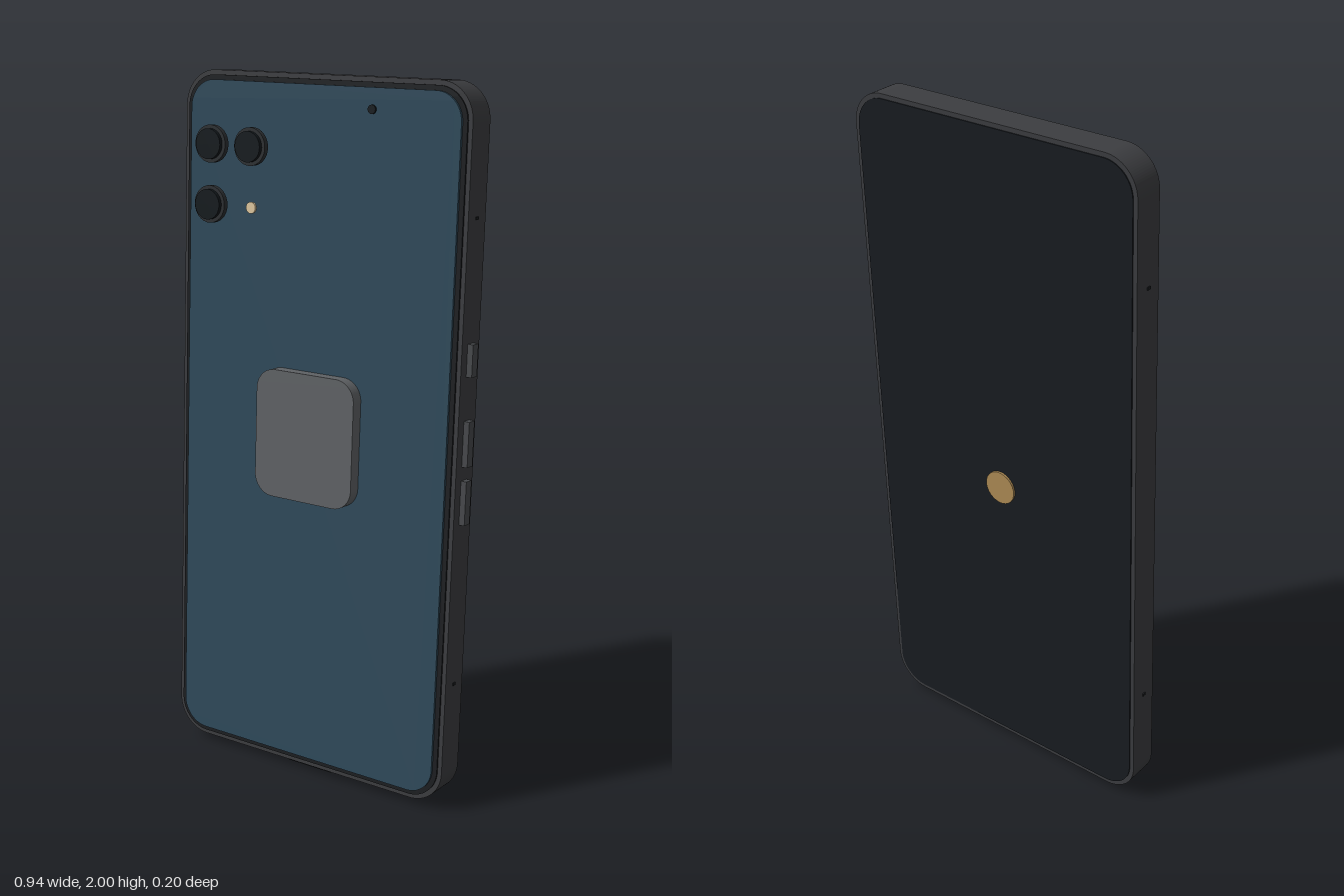
import * as THREE from 'three';

const mat = (color) => new THREE.MeshStandardMaterial({ color });
const MAT = {
  frame: mat(0x3c3d40), bezel: mat(0x1c1e21), blue: mat(0x2f4a5b), screen: mat(0x181c21),
  plate: mat(0x606366), ring: mat(0x2c2f32), lens: mat(0x12181c), gold: mat(0xb08d56),
  flash: mat(0xe0c8a0), button: mat(0x47494c),
};

function roundedRect(w, h, r) {
  const s = new THREE.Shape();
  const x = w / 2, y = h / 2;
  s.moveTo(-x + r, -y);
  s.lineTo(x - r, -y);
  s.absarc(x - r, -y + r, r, -Math.PI / 2, 0, false);
  s.lineTo(x, y - r);
  s.absarc(x - r, y - r, r, 0, Math.PI / 2, false);
  s.lineTo(-x + r, y);
  s.absarc(-x + r, y - r, r, Math.PI / 2, Math.PI, false);
  s.lineTo(-x, -y + r);
  s.absarc(-x + r, -y + r, r, Math.PI, Math.PI * 1.5, false);
  return s;
}

function add(parent, name, geometry, material, x = 0, y = 0, z = 0) {
  const m = new THREE.Mesh(geometry, material);
  m.name = name;
  m.position.set(x, y, z);
  parent.add(m);
  return m;
}

// Rounded slab between depths z0 and z1
function slab(parent, name, w, h, r, z0, z1, material, x = 0, y = 0) {
  const g = new THREE.ExtrudeGeometry(roundedRect(w, h, r), { depth: z1 - z0, bevelEnabled: false, curveSegments: 12 });
  return add(parent, name, g, material, x, y, z0);
}

// Round disc facing along z, between depths z0 and z1
function disc(parent, name, r, z0, z1, material, x, y) {
  const g = new THREE.CylinderGeometry(r, r, z1 - z0, 32).rotateX(Math.PI / 2);
  return add(parent, name, g, material, x, y, (z0 + z1) / 2);
}

export function createModel() {
  const model = new THREE.Group();
  model.name = 'phone';
  const body = new THREE.Group();
  body.name = 'leaningBody';
  body.position.set(-0.0075, 1.007, -0.005);
  body.rotation.x = -0.0505;
  model.add(body);

  // Casing, coloured panel and screen
  slab(body, 'frame', 0.925, 1.978, 0.1, -0.047, 0.043, MAT.frame);
  slab(body, 'bezel', 0.9, 1.952, 0.09, 0.043, 0.048, MAT.bezel);
  slab(body, 'colouredPanel', 0.872, 1.925, 0.078, 0.048, 0.055, MAT.blue);
  slab(body, 'screen', 0.9, 1.952, 0.09, -0.05, -0.047, MAT.screen);

  // Raised plate and small round details
  slab(body, 'raisedPlate', 0.325, 0.365, 0.06, 0.055, 0.092, MAT.plate, 0, 0);
  disc(body, 'microphone', 0.012, 0.055, 0.061, MAT.lens, 0.168, 0.906);
  disc(body, 'flash', 0.016, 0.093, 0.1, MAT.flash, -0.19, 0.624);
  disc(body, 'goldDisc', 0.05, -0.056, -0.05, MAT.gold, 0, -0.087);

  // Cameras
  for (const [x, y] of [[-0.327, 0.79], [-0.192, 0.79], [-0.327, 0.624]]) {
    const camera = new THREE.Group();
    camera.name = 'cameraUnit';
    body.add(camera);
    disc(camera, 'lensRing', 0.052, 0.093, 0.108, MAT.ring, x, y);
    disc(camera, 'lens', 0.042, 0.108, 0.119, MAT.lens, x, y);
  }

  // Side buttons
  for (const [y, h] of [[0.271, 0.088], [0.045, 0.125], [-0.117, 0.122]])
    add(body, 'sideButton', new THREE.BoxGeometry(0.024, h, 0.028), MAT.button, 0.467, y, 0);

  // Antenna marks on both sides
  for (const side of [-1, 1])
    for (const y of [0.643, -0.637])
      add(body, 'antennaMark', new THREE.BoxGeometry(0.006, 0.008, 0.012), MAT.bezel, side * 0.4625, y, 0);

  // Port and speaker holes on the lower edge
  add(body, 'port', new THREE.BoxGeometry(0.155, 0.02, 0.03), MAT.lens, 0, -0.996, 0);
  for (let i = 0; i < 4; i++)
    add(body, 'speakerHole', new THREE.CylinderGeometry(0.007, 0.007, 0.02, 12), MAT.lens, -0.247 + i * 0.0425, -0.997, 0);

  return model;
}
